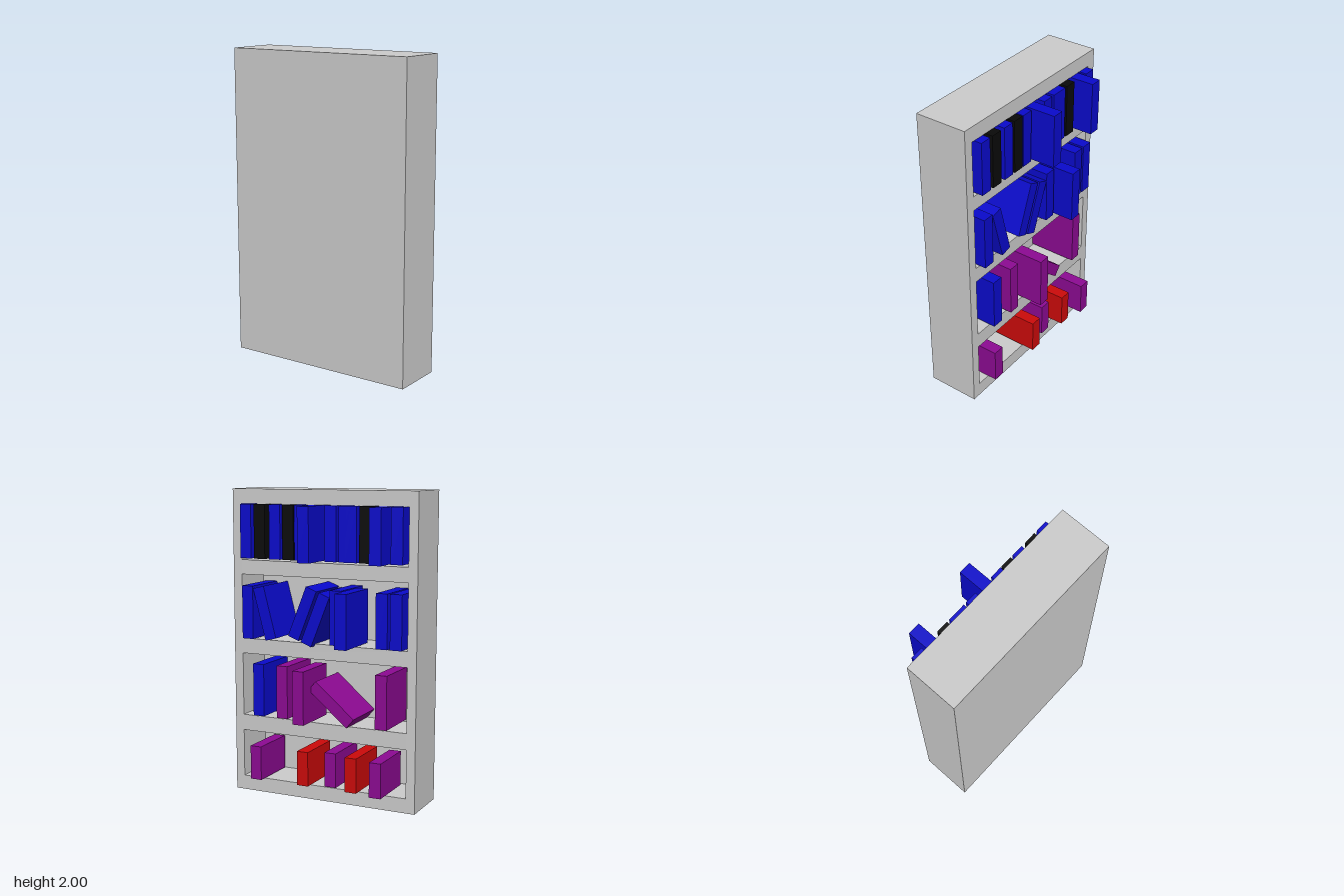
import * as THREE from 'three';

const material = (name, color) => {
  const m = new THREE.MeshStandardMaterial({ color });
  m.name = name;
  return m;
};

export function createModel() {
  const group = new THREE.Group();
  group.name = 'bookcase';
  const grey = material('grey', 0xcccccc);
  const blue = material('blue', 0x0a0acc);
  const purple = material('purple', 0x8c0a92);
  const red = material('red', 0xcc0a0a);
  const black = material('black', 0x0a0a0a);

  const add = (name, geometry, mat, x = 0, y = 0, z = 0) => {
    const mesh = new THREE.Mesh(geometry, mat);
    mesh.name = name;
    mesh.position.set(x, y, z);
    group.add(mesh);
    return mesh;
  };
  const rectangle = (path, halfWidth, bottom, top) => path
    .moveTo(-halfWidth, bottom).lineTo(halfWidth, bottom)
    .lineTo(halfWidth, top).lineTo(-halfWidth, top).closePath();

  // Case: a frame with four openings towards +x, closed by a back panel
  const backX = -0.275, innerX = -0.215, frontX = 0.07;
  const outline = rectangle(new THREE.Shape(), 0.64, 0, 2);
  for (const [bottom, top] of [[0.095, 0.41], [0.515, 0.93], [1.03, 1.45], [1.545, 1.905]]) {
    outline.holes.push(rectangle(new THREE.Path(), 0.58, bottom, top));
  }
  const frame = new THREE.ExtrudeGeometry(outline, { depth: frontX - innerX, bevelEnabled: false });
  frame.rotateY(Math.PI / 2);
  add('shelfFrame', frame, grey, innerX);
  add('backPanel', new THREE.BoxGeometry(innerX - backX, 2, 1.28), grey, (innerX + backX) / 2, 1);

  // Books: colour, z centre, front end x, then optional y centre and tilt
  const rows = [
    { name: 'topRowBook', y: 1.732, height: 0.345, books: [
      [blue, 0.52], [black, 0.42], [blue, 0.31], [black, 0.215], [blue, 0.13], [blue, 0.033, 0.27],
      [blue, -0.08], [blue, -0.177], [blue, -0.219], [black, -0.315], [blue, -0.427, 0.23], [blue, -0.522]] },
    { name: 'upperRowBook', y: 1.21, height: 0.345, books: [
      [blue, 0.512], [blue, 0.388, 0.12, 1.21, 0.258], [blue, 0.117, 0.12, 1.224, -0.38],
      [blue, 0.027, 0.12, 1.19, -0.38], [blue, -0.114], [blue, -0.21, 0.25], [blue, -0.427], [blue, -0.522]] },
    { name: 'lowerRowBook', y: 0.703, height: 0.345, books: [
      [blue, 0.437], [purple, 0.265], [purple, 0.093, 0.23],
      [purple, -0.085, 0.12, 0.657, 0.873], [purple, -0.427]] },
    { name: 'bottomRowBook', y: 0.228, height: 0.225, books: [
      [purple, 0.455, 0.135, 0.213], [red, 0.093, 0.17], [purple, -0.08],
      [red, -0.245, 0.17], [purple, -0.427, 0.205]] },
  ];
  const bookDepth = 0.33;
  for (const row of rows) {
    const geometry = new THREE.BoxGeometry(bookDepth, row.height, 0.078);
    row.books.forEach(([mat, z, end = 0.12, y = row.y, tilt = 0], i) => {
      add(row.name + (i + 1), geometry, mat, end - bookDepth / 2, y, z).rotation.x = tilt;
    });
  }
  return group;
}
